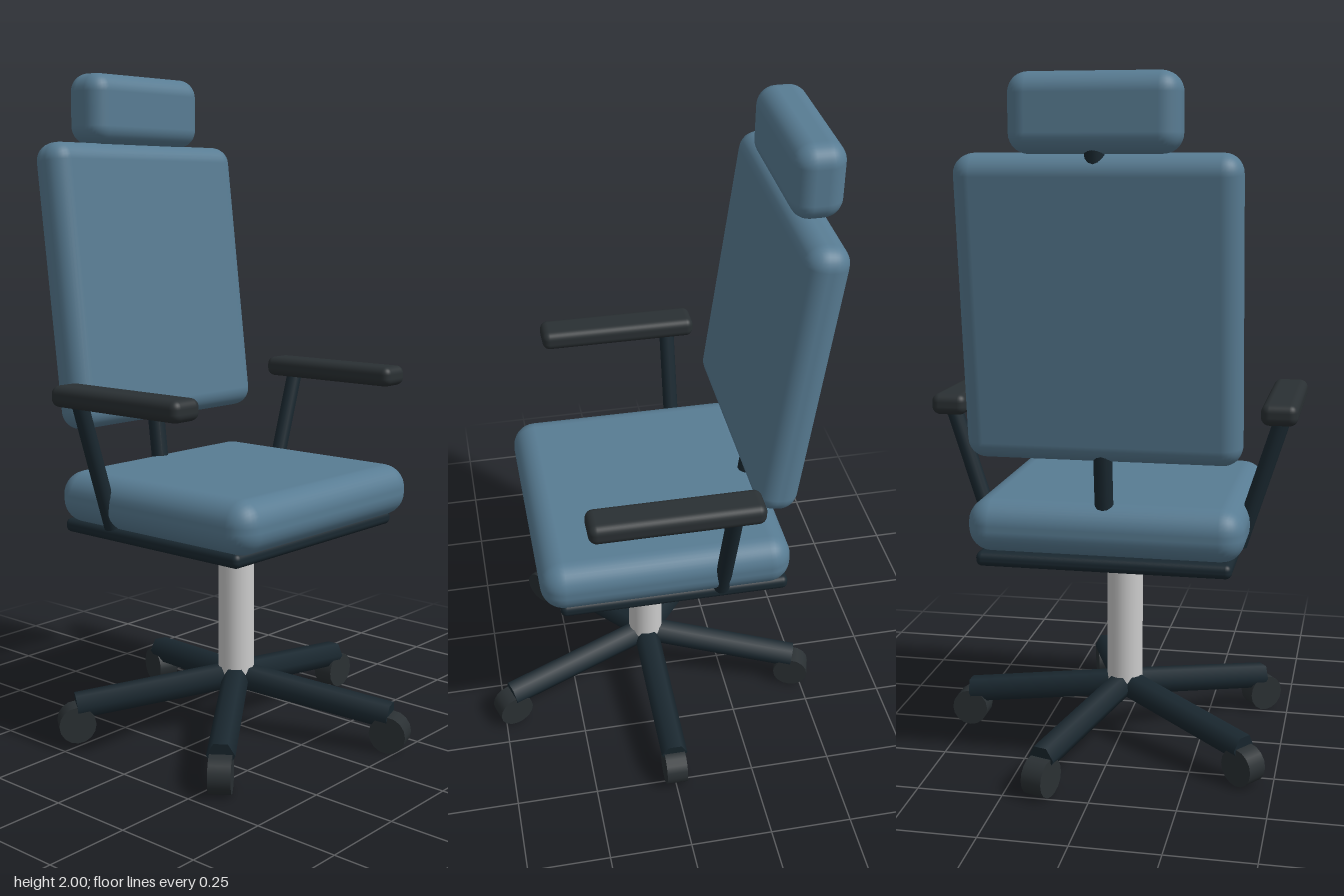
import * as THREE from 'three';
import { RoundedBoxGeometry } from 'three/addons/geometries/RoundedBoxGeometry.js';

const fabric = new THREE.MeshStandardMaterial({ color: 0x587c93 });
const plastic = new THREE.MeshStandardMaterial({ color: 0x2a3033 });
const frame = new THREE.MeshStandardMaterial({ color: 0x1a2830 });
const metal = new THREE.MeshStandardMaterial({ color: 0xcccccc });

function add(parent, name, geometry, material, x, y, z) {
  const mesh = new THREE.Mesh(geometry, material);
  mesh.name = name;
  mesh.position.set(x, y, z);
  parent.add(mesh);
  return mesh;
}

function cushion(parent, name, w, h, d, r, material, x, y, z) {
  return add(parent, name, new RoundedBoxGeometry(w, h, d, 4, r), material, x, y, z);
}

// Straight rod between two points
function rod(parent, name, from, to, radius, sides, material) {
  const a = new THREE.Vector3(...from);
  const b = new THREE.Vector3(...to);
  const dir = b.clone().sub(a);
  const mid = a.clone().add(b).multiplyScalar(0.5);
  const mesh = add(parent, name, new THREE.CylinderGeometry(radius, radius, dir.length(), sides),
    material, mid.x, mid.y, mid.z);
  mesh.quaternion.setFromUnitVectors(new THREE.Vector3(0, 1, 0), dir.normalize());
  return mesh;
}

export function createModel() {
  const chair = new THREE.Group();
  chair.name = 'officeChair';

  // Everything is symmetric about the column, which sits slightly off centre
  const body = new THREE.Group();
  body.name = 'chairBody';
  body.position.x = -0.011;
  chair.add(body);

  // Seat and its pan
  cushion(body, 'seat', 0.798, 0.156, 0.75, 0.07, fabric, 0, 0.743, 0);
  cushion(body, 'seatPan', 0.735, 0.042, 0.69, 0.018, frame, 0, 0.651, -0.025);

  // Leaning backrest, upright headrest and the spine that carries them
  const back = cushion(body, 'backrest', 0.78, 0.85, 0.125, 0.055, fabric, 0, 1.369, -0.362);
  back.rotation.x = -0.12;
  cushion(body, 'headrest', 0.462, 0.212, 0.145, 0.055, fabric, 0, 1.894, -0.418);
  rod(body, 'spine', [0, 0.66, -0.303], [0, 1.83, -0.443], 0.027, 12, frame);

  // Armrests
  for (const side of [1, -1]) {
    const arm = new THREE.Group();
    arm.name = side > 0 ? 'leftArmrest' : 'rightArmrest';
    body.add(arm);
    cushion(arm, 'armPad', 0.104, 0.062, 0.495, 0.024, plastic, side * 0.48, 1.073, 0.005);
    rod(arm, 'armPost', [side * 0.366, 0.676, -0.162], [side * 0.488, 1.06, -0.162], 0.024, 12, frame);
  }

  // Gas lift column
  rod(body, 'column', [0, 0.15, 0], [0, 0.64, 0], 0.055, 24, metal);

  // Five-legged base with a wheel under each tip
  for (let i = 0; i < 5; i++) {
    const leg = new THREE.Group();
    leg.name = 'baseLeg';
    leg.rotation.y = i * Math.PI * 2 / 5;
    body.add(leg);
    rod(leg, 'spoke', [0, 0.17, 0], [0.497, 0.108, 0], 0.041, 6, frame);
    const wheel = add(leg, 'wheel', new THREE.CylinderGeometry(0.056, 0.056, 0.065, 16),
      plastic, 0.497, 0.056, 0);
    wheel.rotation.x = Math.PI / 2;
  }

  return chair;
}
